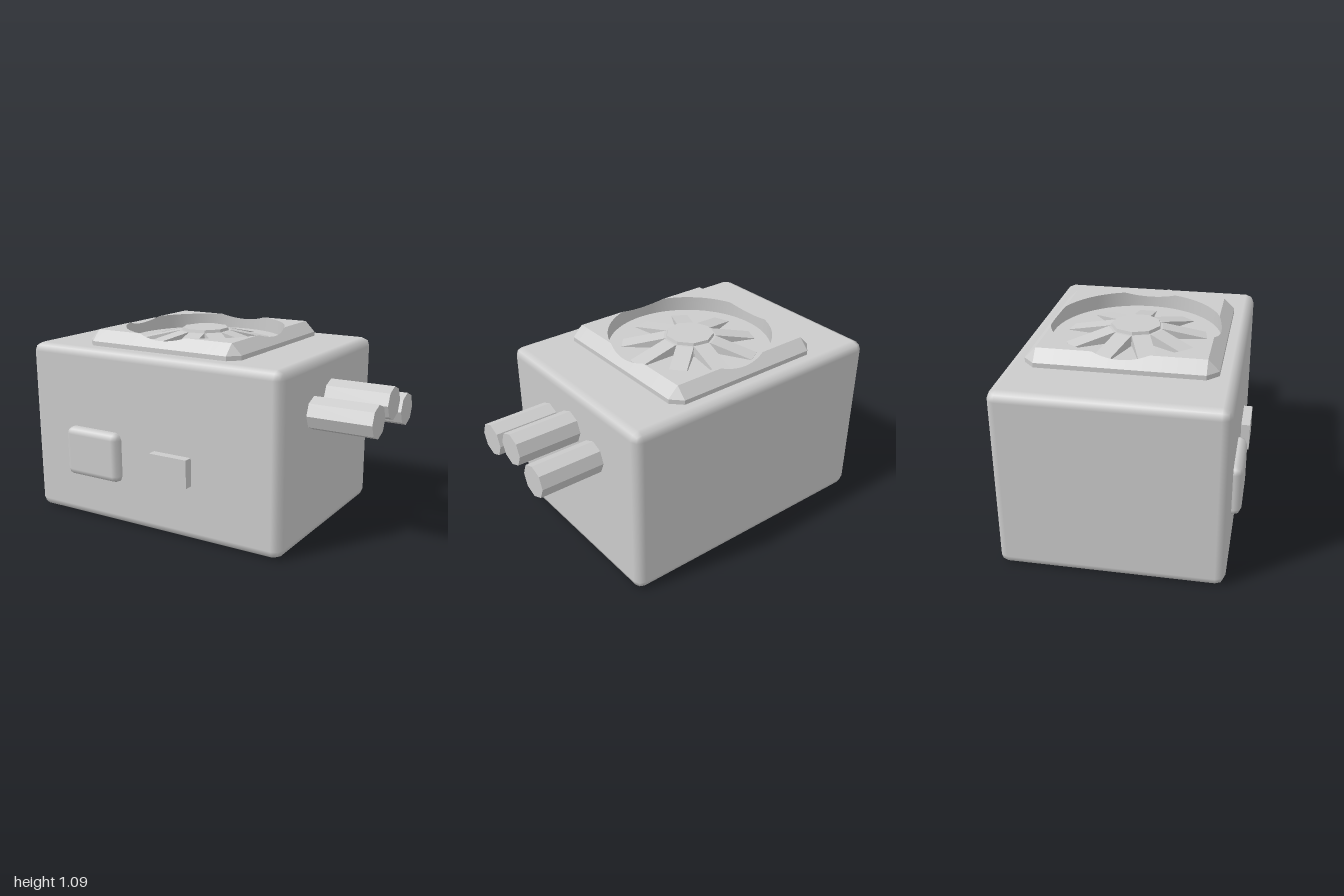
import * as THREE from 'three';
import { toCreasedNormals } from 'three/addons/utils/BufferGeometryUtils.js';
import { RoundedBoxGeometry } from 'three/addons/geometries/RoundedBoxGeometry.js';

const smooth = new THREE.MeshStandardMaterial({ color: 0xcccccc });
const flat = new THREE.MeshStandardMaterial({ color: 0xcccccc, flatShading: true });

function add(parent, name, geometry, material, x, y, z) {
  const mesh = new THREE.Mesh(geometry, material);
  mesh.name = name;
  mesh.position.set(x, y, z);
  parent.add(mesh);
  return mesh;
}

// Square frame with sloped edges, cut corners and a round opening that nicks the slopes
function frameGeometry() {
  const hole = 0.465, inner = 0.44, outer = 0.5, lip = 0.025, top = 0.085, steps = 24;
  const rings = [];
  for (let side = 0; side < 4; side++) {
    for (let i = 0; i <= steps; i++) {
      const a = (i / steps - 0.5) * Math.PI / 2;
      const t = inner * Math.tan(a);
      const cx = hole * Math.cos(a), cz = hole * Math.sin(a);
      const nick = cx > inner;
      const rim = [cx, top - Math.max(0, cx - inner), cz];
      const section = [[cx, -0.01, cz], rim, nick ? rim : [inner, top, t], [outer, lip, t], [outer, -0.01, t]];
      const turn = side * Math.PI / 2, c = Math.cos(turn), s = Math.sin(turn);
      rings.push(section.map(([x, y, z]) => [x * c - z * s, y, x * s + z * c]));
    }
  }
  const pos = [];
  rings.forEach((p, i) => {
    const q = rings[(i + 1) % rings.length];
    for (let j = 0; j < p.length - 1; j++) {
      pos.push(...p[j], ...p[j + 1], ...q[j + 1], ...p[j], ...q[j + 1], ...q[j]);
    }
  });
  const g = new THREE.BufferGeometry();
  g.setAttribute('position', new THREE.Float32BufferAttribute(pos, 3));
  // Orient outward: the top must face up
  for (let i = 0; i < pos.length; i += 9) {
    for (let k = 0; k < 3; k++) {
      [pos[i + 3 + k], pos[i + 6 + k]] = [pos[i + 6 + k], pos[i + 3 + k]];
    }
  }
  const up = new THREE.Triangle(
    new THREE.Vector3(...rings[0][1]), new THREE.Vector3(...rings[0][2]), new THREE.Vector3(...rings[1][2])
  ).getNormal(new THREE.Vector3()).y;
  if (up <= 0) g.setAttribute('position', new THREE.Float32BufferAttribute(pos, 3));
  return toCreasedNormals(g, 0.4);
}

export function createModel() {
  const model = new THREE.Group();
  model.name = 'ventilationUnit';

  // Housing
  add(model, 'housing', new RoundedBoxGeometry(1.635, 1.005, 1.19, 1, 0.05), smooth, -0.1825, 0.5025, -0.025);

  // Fan on the top
  const fan = new THREE.Group();
  fan.name = 'fan';
  fan.position.set(-0.18, 1.005, -0.028);
  model.add(fan);
  add(fan, 'fanFrame', frameGeometry(), smooth, 0, 0, 0);
  add(fan, 'fanHub', new THREE.CylinderGeometry(0.135, 0.155, 0.08, 9, 1, false, Math.PI / 6), flat, 0, 0.035, 0);

  // Ramp-shaped blades sloping down from the hub
  const ramp = new THREE.Shape([[0.1, -0.005], [0.385, -0.005], [0.385, 0.002], [0.145, 0.058], [0.1, 0.058]]
    .map(([x, y]) => new THREE.Vector2(x, y)));
  const bladeGeometry = new THREE.ExtrudeGeometry(ramp, { depth: 0.098, bevelEnabled: false });
  bladeGeometry.translate(0, 0, -0.049);
  for (let i = 0; i < 9; i++) {
    add(fan, 'fanBlade', bladeGeometry, flat, 0, 0, 0).rotation.y = i * Math.PI * 2 / 9;
  }

  // Front panel and button
  add(model, 'frontPanel', new RoundedBoxGeometry(0.37, 0.29, 0.14, 1, 0.04), smooth, -0.55, 0.4, 0.55);
  add(model, 'frontButton', new THREE.BoxGeometry(0.24, 0.16, 0.1), flat, -0.02, 0.4, 0.57);

  // Octagonal pipes on the left side
  const pipeGeometry = new THREE.CylinderGeometry(0.092, 0.092, 0.4, 8);
  pipeGeometry.rotateZ(-Math.PI / 2);
  for (const [y, z] of [[0.717, 0.19], [0.77, -0.025], [0.69, -0.237]]) {
    add(model, 'pipe', pipeGeometry, flat, 0.8, y, z);
  }
  return model;
}
